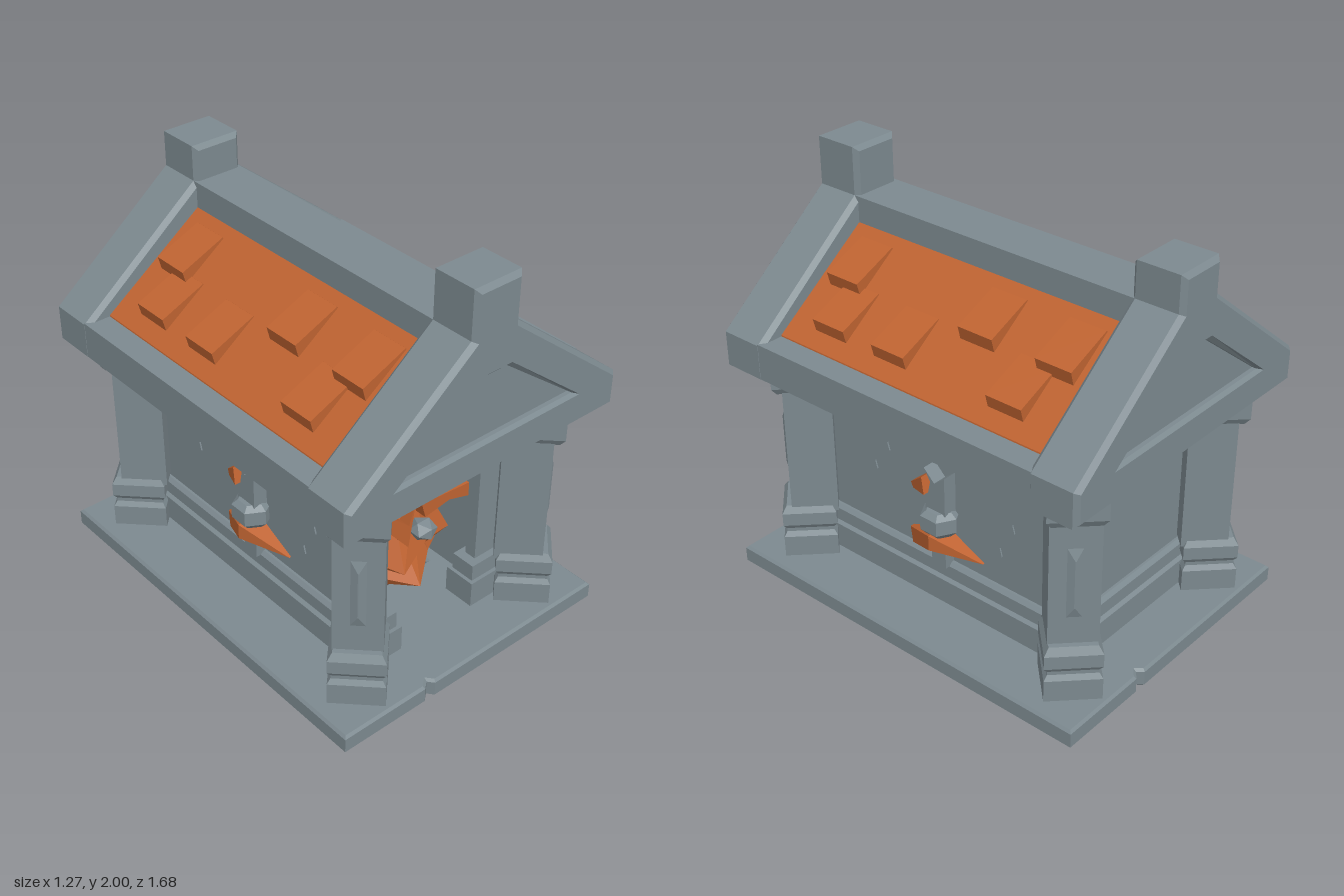
import * as THREE from 'three';

const mat = (name, color) => { const m = new THREE.MeshStandardMaterial({ color }); m.name = name; return m; };

export function createModel() {
  const root = new THREE.Group();
  root.name = 'stoneShrine';
  const stone = mat('stone grey', 0x7c898f);
  const clay = mat('burnt orange', 0xbf6331);
  const earth = mat('earth brown', 0x5a4a45);

  // faceted mesh helper
  const add = (name, geo, material, parent = root) => {
    const g = geo.index ? geo.toNonIndexed() : geo;
    g.computeVertexNormals();
    const m = new THREE.Mesh(g, material);
    m.name = name;
    parent.add(m);
    return m;
  };
  // box given by its minimum and maximum corners
  const box = (name, a, b, material = stone, parent = root) => add(name,
    new THREE.BoxGeometry(b[0] - a[0], b[1] - a[1], b[2] - a[2])
      .translate((a[0] + b[0]) / 2, (a[1] + b[1]) / 2, (a[2] + b[2]) / 2), material, parent);
  const vecs = (pts) => pts.map(([x, y]) => new THREE.Vector2(x, y));
  // extrusion of exact depth, bevelled inward
  const slab = (pts, depth, bevel = 0, hole) => {
    const s = new THREE.Shape(vecs(pts));
    if (hole) s.holes.push(new THREE.Path(vecs(hole)));
    return new THREE.ExtrudeGeometry(s, {
      depth: depth - 2 * bevel, bevelEnabled: bevel > 0, bevelSize: bevel,
      bevelThickness: bevel, bevelOffset: -bevel, bevelSegments: 1,
    }).translate(0, 0, bevel);
  };
  const rect = (x, y) => [[-x, -y], [x, -y], [x, y], [-x, y]];
  // closed skin over equal-sized rings, clockwise seen from the last ring
  const loft = (rings) => {
    const n = rings[0].length, last = rings.length - 1, idx = [];
    for (let r = 0; r < last; r++) for (let i = 0; i < n; i++) {
      const a = r * n + i, b = r * n + (i + 1) % n;
      idx.push(a, a + n, b, b, a + n, b + n);
    }
    for (let i = 1; i < n - 1; i++) idx.push(0, i, i + 1, last * n, last * n + i + 1, last * n + i);
    const g = new THREE.BufferGeometry();
    g.setAttribute('position', new THREE.Float32BufferAttribute(rings.flat(2), 3));
    g.setIndex(idx);
    return g;
  };

  // earth block hanging below the floor
  const earthRing = ([y, a, b, c]) => [[0.11, b], [-0.11, b], [-a, c], [-a, -c], [-0.11, -b], [0.11, -b], [a, -c], [a, c]]
    .map(([x, z]) => [x, y, z]);
  add('earthBlock', loft([[0, 0.21, 0.22, 0.22], [0.07, 0.22, 0.315, 0.22], [0.215, 0.24, 0.345, 0.23], [0.51, 0.18, 0.26, 0.2]]
    .map(earthRing)), earth);

  // floor frame and floor plate, with an opening in the middle
  add('floorFrame', slab(rect(0.42, 0.42), 0.11, 0.008, rect(0.37, 0.37)).rotateX(-Math.PI / 2).translate(0, 0.215, 0), stone);
  const plate = [[-0.633, -0.84], [-0.25, -0.84], [-0.22, -0.815], [-0.2, -0.84], [0.633, -0.84],
    [0.633, 0.84], [0.25, 0.84], [0.22, 0.815], [0.2, 0.84], [-0.633, 0.84]];
  add('floorPlate', slab(plate, 0.08, 0.01, rect(0.24, 0.33)).rotateX(-Math.PI / 2).translate(0, 0.32, 0), stone);

  // walls set in behind the pillars, doorway in the front one
  const wx = 0.34, wz = 0.59;
  const door = [[-wx, 0.39], [-0.235, 0.39], [-0.235, 1.04], [0.235, 1.04], [0.235, 0.39], [wx, 0.39], [wx, 1.26], [-wx, 1.26]];
  add('frontWall', slab(door, 0.05).translate(0, 0, wz - 0.05), stone);
  box('backWall', [-wx, 0.39, -wz], [wx, 1.26, 0.05 - wz]);
  for (const s of [-1, 1]) box('sideWall', [s * (wx - 0.02) - 0.02, 0.39, 0.02 - wz], [s * (wx - 0.02) + 0.02, 1.26, wz - 0.02]);

  // stepped skirting: block below, sloped course above
  const skirting = (length, x, z, turn) => {
    const profile = [[-0.04, 0.39], [0.04, 0.39], [0.04, 0.505], [0.025, 0.515], [0.025, 0.57], [0.01, 0.585], [-0.04, 0.585]];
    const m = add('skirting', slab(profile, length).translate(0, 0, -length / 2), stone);
    m.position.set(x, 0, z);
    m.rotation.y = turn;
  };
  skirting(2 * wz, wx, 0, 0);
  skirting(2 * wz, -wx, 0, Math.PI);
  skirting(2 * wx, 0, -wz, Math.PI / 2);
  // skirting wrapped around the door jambs
  for (const s of [-1, 1]) {
    box('jambBlock', [s * 0.27 - 0.09, 0.39, wz - 0.09], [s * 0.27 + 0.09, 0.51, wz + 0.045]);
    box('jambCourse', [s * 0.27 - 0.075, 0.5, wz - 0.075], [s * 0.27 + 0.075, 0.58, wz + 0.03]);
  }

  // plaque over the door
  add('doorPlaque', slab([[-0.18, 1.11], [-0.16, 1.09], [0.16, 1.09], [0.18, 1.11], [0.18, 1.17], [0.16, 1.19], [-0.16, 1.19], [-0.18, 1.17]],
    0.07, 0.012).translate(0, 0, wz - 0.03), stone);

  // corner pillars set diagonally; foot and cap lean outward, each with a faceted panel
  const pillarParts = [
    ['pillarFoot', 0.017, [[0, 0.39], [0.15, 0.39], [0.15, 0.49], [0.132, 0.51], [0.132, 0.525], [0.15, 0.545], [0.15, 0.6], [0.125, 0.63], [0, 0.63]]],
    ['pillarShaft', 0, [[0, 0.6], [0.13, 0.6], [0.13, 1.17], [0, 1.17]]],
    ['pillarCap', 0.017, [[0, 1.14], [0.125, 1.14], [0.15, 1.17], [0.15, 1.255], [0, 1.255]]],
  ];
  for (const sx of [-1, 1]) for (const sz of [-1, 1]) {
    const pillar = new THREE.Group();
    pillar.name = 'pillar';
    pillar.position.set(sx * 0.405, 0, sz * 0.65);
    root.add(pillar);
    for (const [name, lean, profile] of pillarParts) {
      add(name, new THREE.LatheGeometry(vecs(profile), 4).translate(sx * lean, 0, sz * lean), stone, pillar);
    }
    const outline = (z, w, lo, hi) => [[-w, lo, z], [-w, hi, z], [w, hi, z], [w, lo, z]];
    const panel = add('pillarPanel', loft([outline(0.085, 0.042, 0.72, 1.06), outline(0.105, 0.002, 0.79, 0.99)]), stone, pillar);
    panel.rotation.y = Math.atan2(sx, sz);
  }

  // gables with a sloped recess and a chimney-like peak
  const recess = [[-0.415, 1.387], [0.415, 1.387], [0.07, 1.648], [-0.07, 1.648]];
  for (const [name, top, turn] of [['frontGable', 2, 0], ['backGable', 1.95, Math.PI]]) {
    const gable = new THREE.Group();
    gable.name = name;
    gable.rotation.y = turn;
    root.add(gable);
    const outline = [[-0.633, 1.25], [0.633, 1.25], [0.633, 1.39], [0.105, 1.81], [0.105, top], [-0.105, top], [-0.105, 1.81], [-0.633, 1.39]];
    add('gableBody', slab(outline, 0.21, 0.018, recess).translate(0, 0, 0.63), stone, gable);
    add('gableRecess', slab(recess, 0.165).translate(0, 0, 0.64), stone, gable);
  }

  // roof beams, ceiling and orange slopes
  box('ceiling', [-0.53, 1.25, -0.65], [0.53, 1.36, 0.65]);
  box('ridgeBeam', [-0.105, 1.55, -0.65], [0.105, 1.81, 0.65]);
  for (const s of [-1, 1]) box('eaveBeam', [s * 0.58 - 0.052, 1.25, -0.65], [s * 0.58 + 0.052, 1.395, 0.65]);
  add('roofSlopes', slab([[-0.54, 1.35], [0.54, 1.35], [0.53, 1.4], [0.1, 1.71], [-0.1, 1.71], [-0.53, 1.4]], 1.29).translate(0, 0, -0.645), clay);

  // wedge tiles and wall lamps, repeated on both sides by a half turn
  const tiles = [[0, 0.495], [0, -0.15], [0, -0.495], [1, 0.425], [1, 0.13], [1, -0.405]];
  const chips = [[0.28, 0.95], [0.35, 0.84], [-0.26, 1.0], [-0.34, 0.85], [-0.28, 0.72]];
  const side = (pts, depth, x) => slab(pts, depth).rotateY(-Math.PI / 2).translate(x + depth, 0, 0);
  // leaf whose outer face slopes back to the wall towards its tips
  const leaf = (pts, depth) => {
    const g = side(pts, depth, 0), p = g.attributes.position;
    for (let i = 0; i < p.count; i++) p.setX(i, p.getX(i) * (1 - 4 * Math.abs(p.getZ(i))));
    return g.translate(wx - 0.02, 0, 0);
  };
  for (const turn of [0, Math.PI]) {
    const half = new THREE.Group();
    half.name = turn ? 'rightSideDetails' : 'leftSideDetails';
    half.rotation.y = turn;
    root.add(half);
    for (const [row, z] of tiles) {
      const wedge = slab([[0.13, 1.665], [0.322, 1.545], [0.337, 1.602], [0.15, 1.682]], 0.155);
      add('roofTile', wedge.translate(row * 0.148, row * -0.11, z - 0.0775), clay, half);
    }
    box('lampStem', [wx - 0.02, 0.57, -0.035], [wx + 0.045, 0.74, 0.035], stone, half);
    add('lampCup', new THREE.LatheGeometry(vecs([[0, 0.72], [0.05, 0.72], [0.08, 0.75], [0.08, 0.81], [0.055, 0.83], [0, 0.83]]), 6)
      .translate(wx + 0.03, 0, 0), stone, half);
    add('lampSpike', side([[-0.05, 0.82], [0.05, 0.82], [0.02, 0.95], [0.05, 1.0], [0.0, 0.95], [-0.05, 0.99]], 0.06, wx), stone, half);
    add('lampLowerLeaf', leaf([[0.17, 0.66], [0.15, 0.6], [0, 0.67], [-0.19, 0.645], [0, 0.735]], 0.12), clay, half);
    add('lampUpperLeaf', leaf([[0.15, 0.88], [0.13, 0.865], [0.03, 0.9], [0.05, 0.965]], 0.12), clay, half);
    for (const [z, y] of chips) add('wallChip', side([[z, y], [z + 0.03, y + 0.01], [z + 0.01, y + 0.035]], 0.008, wx - 0.002), stone, half);
  }

  // jagged tiered fire inside the doorway
  for (const [i, [low, high, r]] of [[0.51, 0.7, 0.27], [0.62, 0.88, 0.29], [0.87, 1.08, 0.29]].entries()) {
    const ring = (y, rad, jag) => Array.from({ length: 10 }, (_, k) => {
      const a = -(k + i * 0.5) / 10 * Math.PI * 2, out = rad * (k % 2 ? 1 - jag : 1);
      return [Math.sin(a) * out, y + (k % 2 ? jag * 0.25 : 0), 0.27 + Math.cos(a) * out];
    });
    add('fireTier', loft([ring(low, r * 0.75, 0.1), ring(low + 0.03, r, 0.2), ring(high, r * 0.6, 0.05)]), clay);
  }
  const tongues = [
    [[-0.23, 1.02], [-0.23, 0.96], [-0.08, 0.78], [-0.05, 0.98], [-0.08, 0.88]],
    [[-0.02, 0.95], [0.22, 0.93], [0.22, 0.87], [0.12, 0.9], [0.0, 0.88]],
  ];
  for (const pts of tongues) add('fireTongue', slab(pts, 0.05).translate(0, 0, 0.5), clay);
  box('fireBacking', [-0.3, 0.5, 0.1], [0.3, 1.1, 0.16], clay);
  add('fireStone', new THREE.IcosahedronGeometry(0.055, 0).scale(1, 0.8, 1).translate(0, 0.82, 0.54), stone);

  return root;
}
